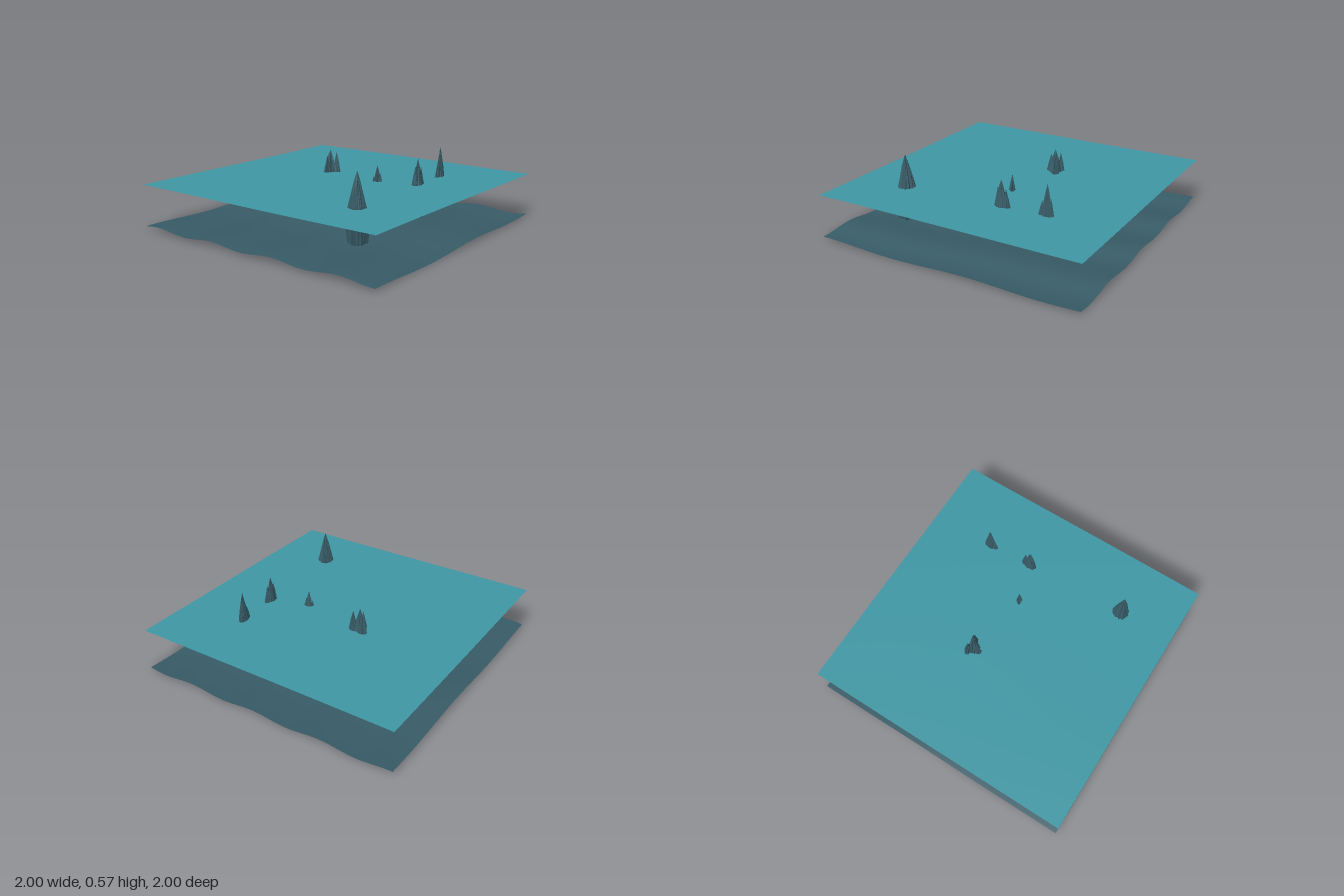
import * as THREE from 'three';

const BASE = 0.1; // underside of the rocks
// [fraction of height, fraction of radius], from base to tip
const PROFILE = [[0, 0], [0, 0.82], [0.13, 0.9], [0.3, 1], [0.41, 0.9], [0.52, 0.73], [0.65, 0.54], [0.77, 0.36], [0.87, 0.2], [0.94, 0.09], [1, 0]];

// Each rock is a cluster of fluted spires: x, z, radius x, radius z, top
const ROCKS = {
  westRock: [
    [-0.585, 0.567, 0.077, 0.078, 0.57], [-0.55, 0.555, 0.045, 0.05, 0.46], [-0.605, 0.585, 0.052, 0.056, 0.48],
  ],
  backRock: [
    [0.17, -0.24, 0.07, 0.075, 0.5], [0.195, -0.275, 0.045, 0.058, 0.47],
    [0.135, -0.245, 0.06, 0.04, 0.46], [0.192, -0.2, 0.045, 0.058, 0.48],
  ],
  smallRock: [
    [0.092, 0.247, 0.042, 0.045, 0.45], [0.1, 0.265, 0.034, 0.042, 0.4], [0.08, 0.225, 0.03, 0.034, 0.38],
  ],
  middleRock: [
    [0.178, 0.533, 0.072, 0.05, 0.52], [0.215, 0.535, 0.058, 0.036, 0.46], [0.15, 0.53, 0.048, 0.042, 0.47],
  ],
  eastRock: [
    [0.512, 0.515, 0.062, 0.037, 0.55], [0.475, 0.517, 0.055, 0.034, 0.43], [0.537, 0.512, 0.04, 0.034, 0.45],
  ],
};

function seeded(seed) {
  return () => {
    seed = (seed * 16807) % 2147483647;
    return seed / 2147483647;
  };
}

// Lathed spire whose columns get their own depth and height
function spireGeometry(rx, rz, top, rand) {
  const segments = 26;
  const height = top - BASE;
  const points = PROFILE.map(([t, r]) => new THREE.Vector2(r, t));
  const geometry = new THREE.LatheGeometry(points, segments);
  const flutes = Array.from({ length: segments }, (_, i) => ({
    depth: (i % 2 ? 0.78 : 0.95) + rand() * 0.12,
    lift: (rand() - 0.5) * 0.16,
    wobble: PROFILE.map(() => 0.94 + rand() * 0.12),
  }));
  const pos = geometry.attributes.position;
  for (let i = 0; i < pos.count; i++) {
    const ring = i % PROFILE.length;
    const flute = flutes[Math.floor(i / PROFILE.length) % segments];
    const [t, r] = PROFILE[ring];
    const scale = flute.depth * flute.wobble[ring];
    const ragged = ring === 1 ? Math.abs(flute.lift) * 0.1 : 0;
    const lift = r > 0 ? flute.lift * t * t * Math.min(1, r * 3) : 0;
    pos.setXYZ(i, pos.getX(i) * rx * scale, (t + lift + ragged) * height, pos.getZ(i) * rz * scale);
  }
  geometry.computeVertexNormals();
  return geometry;
}

// Square sheet shaped by a height rule
function sheet(name, divisions, material, heightAt) {
  const geometry = new THREE.PlaneGeometry(2, 2, divisions, divisions).rotateX(-Math.PI / 2);
  const pos = geometry.attributes.position;
  for (let i = 0; i < pos.count; i++) pos.setY(i, heightAt(pos.getX(i), pos.getZ(i)));
  geometry.computeVertexNormals();
  const mesh = new THREE.Mesh(geometry, material);
  mesh.name = name;
  return mesh;
}

export function createModel() {
  const model = new THREE.Group();
  model.name = 'seaStacks';

  const water = new THREE.MeshStandardMaterial({ color: 0x3e98a5, side: THREE.DoubleSide });
  water.name = 'water';
  const stone = new THREE.MeshStandardMaterial({ color: 0x385c67, side: THREE.DoubleSide });
  stone.name = 'stone';
  const rock = new THREE.MeshStandardMaterial({ color: 0x385c67, flatShading: true });
  rock.name = 'rock';

  // Nearly still water with a faint diagonal swell
  model.add(sheet('waterSurface', 50, water, (x, z) => 0.331 + 0.002 * Math.sin(2.4 * (x + z))));

  // Rippled sea floor
  model.add(sheet('seaFloor', 90, stone, (x, z) =>
    0.02 + 0.011 * Math.sin(11.8 * z + 0.8 * x) + 0.009 * Math.sin(5.5 * x + 0.6)));

  // Spiky rocks rising through the water
  const rand = seeded(4217);
  for (const [name, spires] of Object.entries(ROCKS)) {
    const group = new THREE.Group();
    group.name = name;
    for (const [x, z, rx, rz, top] of spires) {
      const spire = new THREE.Mesh(spireGeometry(rx, rz, top, rand), rock);
      spire.name = 'spire';
      spire.position.set(x, BASE, z);
      group.add(spire);
    }
    model.add(group);
  }
  return model;
}
